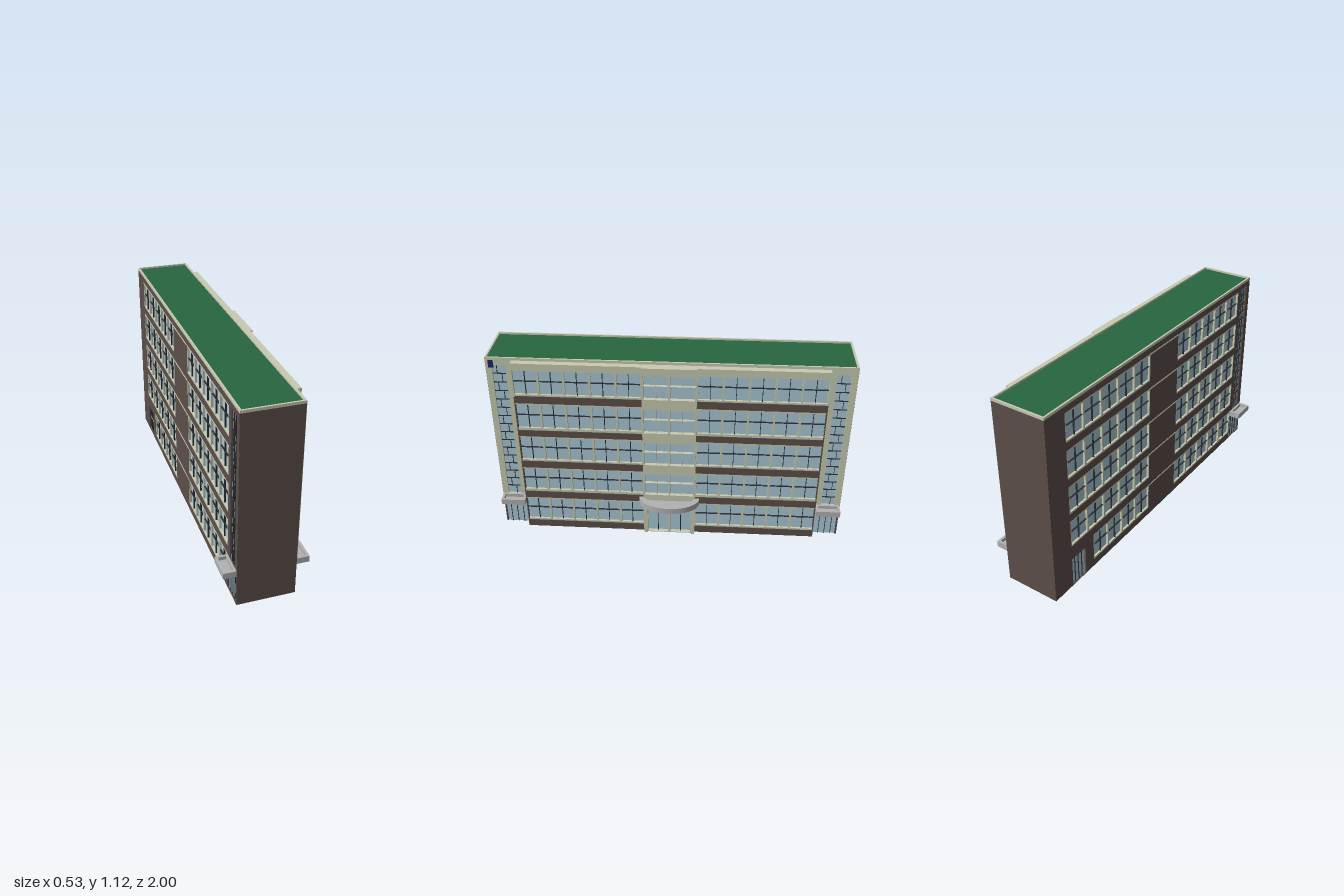
import * as THREE from 'three';

const mat = (color) => new THREE.MeshStandardMaterial({ color });
const cream = mat(0xc8cbb2), brown = mat(0x5c4f4a), glass = mat(0xa9c9d6);
const green = mat(0x276640), grey = mat(0xb2b2b2), dark = mat(0x2b2e33), navy = mat(0x1c2a5c);

// Box given by its limits on each axis
function box(parent, name, m, x0, x1, y0, y1, z0, z1) {
  const mesh = new THREE.Mesh(new THREE.BoxGeometry(x1 - x0, y1 - y0, z1 - z0), m);
  mesh.position.set((x0 + x1) / 2, (y0 + y1) / 2, (z0 + z1) / 2);
  mesh.name = name;
  parent.add(mesh);
  return mesh;
}

function rect(Type, x0, x1, y0, y1) {
  const s = new Type();
  s.moveTo(x0, y0).lineTo(x1, y0).lineTo(x1, y1).lineTo(x0, y1).closePath();
  return s;
}

// Flat wall with rectangular openings [x0, x1, y0, y1]
function panel(parent, name, m, [x0, x1, y0, y1], holes, z0, z1) {
  const s = rect(THREE.Shape, x0, x1, y0, y1);
  holes.forEach((h) => s.holes.push(rect(THREE.Path, ...h)));
  const geo = new THREE.ExtrudeGeometry(s, { depth: z1 - z0, bevelEnabled: false });
  const mesh = new THREE.Mesh(geo, m);
  mesh.position.z = z0;
  mesh.name = name;
  parent.add(mesh);
}

// Thin deep cross bars inside one window opening
function crossBars(parent, [x0, x1, y0, y1], z0, z1, m = dark) {
  const cx = (x0 + x1) / 2, cy = y0 + (y1 - y0) * 0.55, t = 0.0015;
  box(parent, 'mullion', m, cx - t, cx + t, y0, y1, z0, z1);
  box(parent, 'transom', m, x0, x1, cy - t, cy + t, z0, z1);
}

// Framed row of n equal windows, glazed behind
function windowRow(parent, x0, x1, y0, y1, n, zBack, zFront, win) {
  const pitch = (x1 - x0) / n, holes = [];
  for (let i = 0; i < n; i++)
    holes.push([x0 + i * pitch + 0.006, x0 + (i + 1) * pitch - 0.006, win[0], win[1]]);
  panel(parent, 'windowFrame', cream, [x0, x1, y0, y1], holes, zBack, zFront);
  box(parent, 'windowGlass', glass, x0 + 0.004, x1 - 0.004, win[0] - 0.004, win[1] + 0.004, zBack - 0.01, zBack + 0.002);
  holes.forEach((h) => crossBars(parent, h, zBack, zFront - 0.003));
}

// Tall glazed strip with staggered glazing bars
function stairGlass(parent, x0, x1, y0, y1, z, stagger) {
  box(parent, 'stairGlass', glass, x0, x1, y0, y1, z - 0.01, z);
  const n = 16, step = (y1 - y0) / n, w = x1 - x0;
  for (let i = 0; i < n; i++) {
    const y = y0 + i * step;
    if (i) box(parent, 'stairTransom', dark, x0, x1, y - 0.0015, y + 0.0015, z, z + 0.007);
    (stagger ? [i % 2 ? 0.33 : 0.67] : [0.33, 0.67]).forEach((f) =>
      box(parent, 'stairMullion', dark, x0 + w * f - 0.001, x0 + w * f + 0.001, y, y + step, z, z + 0.007));
  }
}

// Glazed ground floor door screen
function doorScreen(parent, x0, x1, y1, z) {
  box(parent, 'doorGlass', glass, x0, x1, 0, y1, z - 0.01, z);
  for (let i = 1; i < 4; i++) {
    const x = x0 + ((x1 - x0) * i) / 4;
    box(parent, 'doorMullion', dark, x - 0.0015, x + 0.0015, 0, y1, z, z + 0.005);
  }
}

// Open-topped tray canopy
function trayCanopy(parent, x0, x1, z0, z1) {
  const g = new THREE.Group(), t = 0.014;
  g.name = 'sideCanopy';
  box(g, 'canopyFloor', grey, x0, x1, 0.18, 0.195, z0, z1);
  box(g, 'canopyRim', grey, x0, x0 + t, 0.195, 0.215, z0, z1);
  box(g, 'canopyRim', grey, x1 - t, x1, 0.195, 0.215, z0, z1);
  box(g, 'canopyRim', grey, x0 + t, x1 - t, 0.195, 0.215, z0, z0 + t);
  box(g, 'canopyRim', grey, x0 + t, x1 - t, 0.195, 0.215, z1 - t, z1);
  parent.add(g);
}

// Vertical limits of frame rows and windows per floor
const rows = [[0.045, 0.215], [0.26, 0.43], [0.475, 0.645], [0.685, 0.86], [0.905, 1.105]];
const wins = [[0.055, 0.205], [0.275, 0.42], [0.485, 0.635], [0.7, 0.85], [0.915, 1.06]];

// Entrance side, built facing local +z
function entranceFacade() {
  const g = new THREE.Group();
  g.name = 'entranceFacade';
  for (const s of [-1, 1]) {
    const span = (a, b) => (s > 0 ? [a, b] : [-b, -a]);
    const [x0, x1] = span(0.15, 0.855);
    let below = 0;
    rows.forEach(([y0, y1], i) => {
      box(g, 'brickBand', brown, x0, x1, below, y0, 0.1, 0.155);
      windowRow(g, x0, x1, y0, y1, 5, 0.137, 0.152, wins[i]);
      below = y1;
    });
    // Wing end wall, top coping
    const [e0, e1] = span(0.849, 0.855);
    box(g, 'wingEnd', brown, e0, e1, 0, 0.9, 0.1, 0.1535);
    box(g, 'wingEndTop', cream, e0, e1, 0.9, 1.105, 0.1, 0.155);
    box(g, 'wingCoping', cream, x0, x1, 1.065, 1.105, 0.1, 0.155);
    // Corner bay with stair glazing and ground floor doors
    const [c0, c1] = span(0.855, 0.999), [h0, h1] = span(0.89, 0.965);
    panel(g, 'cornerPanel', cream, [c0, c1, 0.18, 1.105], [[h0, h1, 0.215, 1.075]], 0.1, 0.12);
    stairGlass(g, h0, h1, 0.215, 1.075, 0.11, true);
    doorScreen(g, c0, c1, 0.18, 0.113);
  }
  // Central bay
  const holes = [];
  for (const [a, b] of [[-0.14, -0.005], [0.005, 0.14]])
    wins.slice(1).forEach(([y0, y1]) => holes.push([a, b, y0, y1]));
  const doors = [[-0.125, -0.008, 0.004, 0.175], [0.008, 0.125, 0.004, 0.175]];
  panel(g, 'centralBay', cream, [-0.15, 0.15, 0, 1.105], [...holes, ...doors], 0.1, 0.168);
  box(g, 'centralGlass', glass, -0.145, 0.145, 0.004, 1.07, 0.1, 0.145);
  holes.forEach((h) => crossBars(g, h, 0.145, 0.163, cream));
  doors.forEach(([a, b]) => {
    const c = (a + b) / 2;
    box(g, 'entranceMullion', dark, c - 0.0015, c + 0.0015, 0.004, 0.175, 0.145, 0.16);
  });
  for (const s of [-1, 1])
    box(g, 'entrancePost', cream, s * 0.14 - 0.01, s * 0.14 + 0.01, 0, 0.215, 0.16, 0.178);
  box(g, 'entranceLintel', cream, -0.13, 0.13, 0.178, 0.215, 0.16, 0.178);
  box(g, 'plaque', navy, -0.983, -0.955, 1.06, 1.105, 0.115, 0.123);
  g.rotation.y = Math.PI / 2;
  return g;
}

// Rear side, built facing local +z
function rearFacade() {
  const g = new THREE.Group(), openings = [];
  g.name = 'rearFacade';
  wins.forEach((w, i) => {
    const y0 = w[0] - 0.01, y1 = w[1] + 0.01;
    for (const [x0, x1, n] of [[i ? -0.855 : -0.67, -0.13, i ? 5 : 4], [0.15, 0.855, 5]]) {
      openings.push([x0, x1, y0, y1]);
      windowRow(g, x0, x1, y0, y1, n, 0.186, 0.2, w);
    }
    // Thin string courses across the blank centre
    box(g, 'stringCourse', cream, -0.13, 0.15, y1 - 0.008, y1, 0.19, 0.202);
  });
  openings.push([-0.855, -0.74, 0.003, 0.18], [0.89, 0.965, 0.215, 1.075], [0.86, 0.988, 0.003, 0.18]);
  panel(g, 'rearWall', brown, [-0.999, 0.999, 0, 1.105], openings, 0.18, 0.2);
  doorScreen(g, -0.855, -0.74, 0.18, 0.19);
  doorScreen(g, 0.86, 0.988, 0.18, 0.19);
  stairGlass(g, 0.89, 0.965, 0.215, 1.075, 0.19, false);
  g.rotation.y = -Math.PI / 2;
  return g;
}

// Half-oval canopy with raised rim over the entrance
function entranceCanopy() {
  const g = new THREE.Group(), q = Math.PI / 2;
  g.name = 'entranceCanopy';
  const slab = new THREE.Shape().absellipse(0.155, 0, 0.11, 0.175, -q, q, false, 0);
  const rim = new THREE.Shape().absellipse(0.155, 0, 0.11, 0.175, -q, q, false, 0);
  rim.absellipse(0.155, 0, 0.075, 0.14, q, -q, true, 0);
  [[slab, 0.215, 0.02], [rim, 0.235, 0.016]].forEach(([s, y, depth], i) => {
    const geo = new THREE.ExtrudeGeometry(s, { depth, bevelEnabled: false, curveSegments: 24 });
    const mesh = new THREE.Mesh(geo.rotateX(-q), grey);
    mesh.position.y = y;
    mesh.name = i ? 'canopyRim' : 'canopySlab';
    g.add(mesh);
  });
  return g;
}

export function createModel() {
  const model = new THREE.Group();
  model.name = 'officeBlock';
  box(model, 'core', brown, -0.18, 0.1, 0, 1.105, -0.995, 0.995);
  // End walls and parapet
  for (const s of [-1, 1]) {
    box(model, 'endWall', brown, -0.199, 0.118, 0, 1.105, s * 0.995 - 0.005, s * 0.995 + 0.005);
    box(model, 'endParapet', cream, -0.2, 0.12, 1.105, 1.12, s * 0.995 - 0.005, s * 0.995 + 0.005);
  }
  box(model, 'rearParapet', cream, -0.2, -0.19, 1.105, 1.12, -0.99, 0.99);
  box(model, 'frontParapet', cream, 0.11, 0.12, 1.105, 1.12, -0.99, 0.99);
  box(model, 'roof', green, -0.19, 0.11, 1.1, 1.11, -0.99, 0.99);
  model.add(entranceFacade(), rearFacade(), entranceCanopy());
  trayCanopy(model, 0.119, 0.19, 0.855, 0.995);
  trayCanopy(model, 0.119, 0.19, -0.995, -0.855);
  trayCanopy(model, -0.27, -0.199, 0.855, 0.995);
  return model;
}
